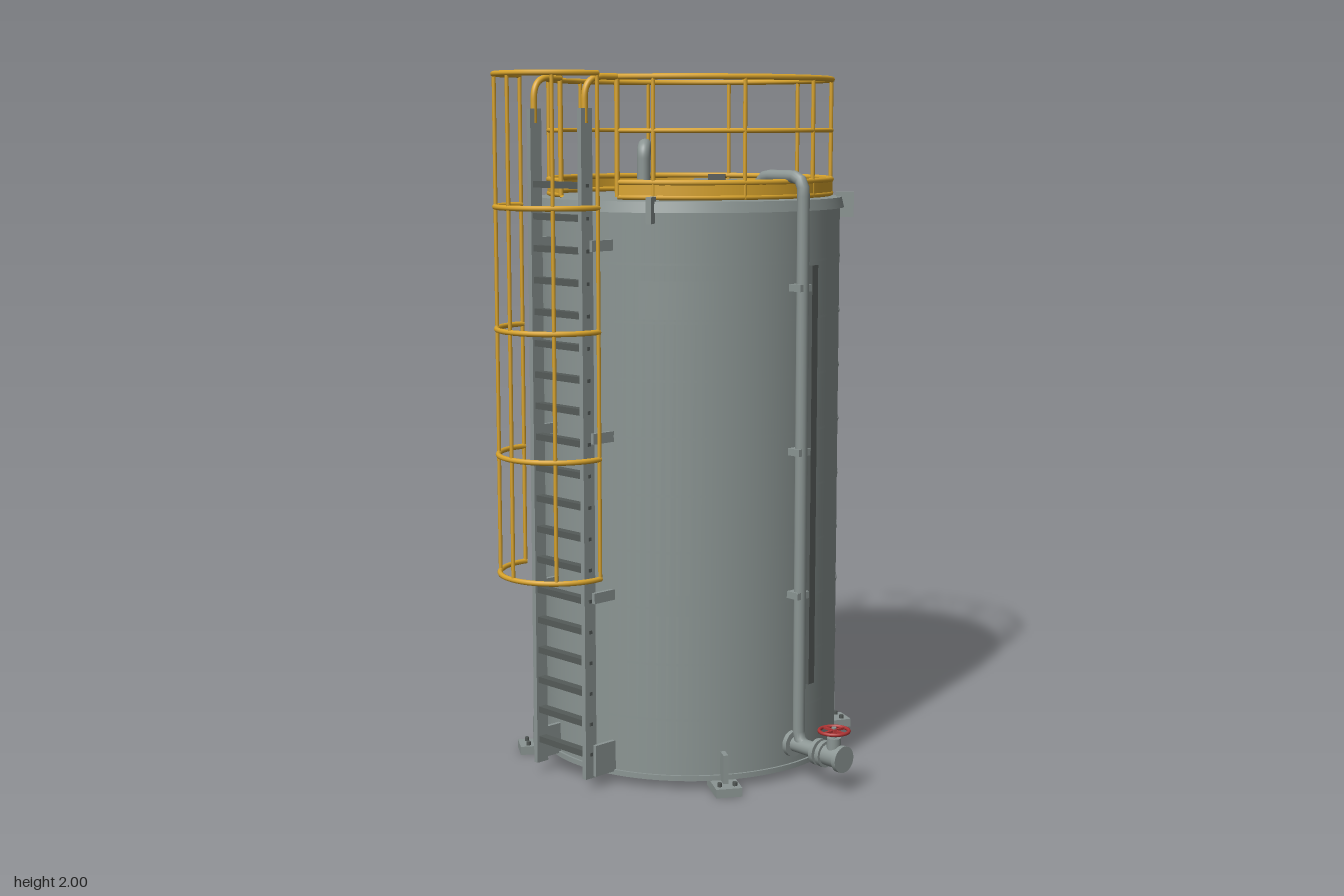
import * as THREE from 'three';

const rad = THREE.MathUtils.degToRad;
const V = (x, y, z) => new THREE.Vector3(x, y, z);

function material(name, color) {
  const m = new THREE.MeshStandardMaterial({ color, side: THREE.DoubleSide });
  m.name = name;
  return m;
}

export function createModel() {
  const steel = material('tank grey', 0x8b9593);
  const yellow = material('safety yellow', 0xd9a42c);
  const red = material('valve red', 0xb03434);
  const dark = material('dark grey', 0x555b59);

  const model = new THREE.Group();
  model.name = 'storageTank';
  const tank = new THREE.Group();
  tank.name = 'tank';
  tank.position.set(0.007, 0, -0.047);
  model.add(tank);

  function add(parent, name, geometry, mat, x = 0, y = 0, z = 0) {
    const mesh = new THREE.Mesh(geometry, mat);
    mesh.name = name;
    mesh.position.set(x, y, z);
    parent.add(mesh);
    return mesh;
  }
  const box = (p, name, mat, w, h, d, x, y, z) =>
    add(p, name, new THREE.BoxGeometry(w, h, d), mat, x, y, z);
  const rod = (p, name, mat, r, h, x, y, z, n = 16) =>
    add(p, name, new THREE.CylinderGeometry(r, r, h, n), mat, x, y, z);
  // cylinder lying along local x
  const rodX = (p, name, mat, r, len, x, y, z) => {
    const m = rod(p, name, mat, r, len, x, y, z, 24);
    m.rotation.z = Math.PI / 2;
    return m;
  };
  // group whose local x points outward at an angle measured from +x towards +z
  function station(name, deg) {
    const g = new THREE.Group();
    g.name = name;
    g.rotation.y = -rad(deg);
    tank.add(g);
    return g;
  }
  // horizontal tube arc from one angle to another
  function hoop(p, name, mat, r, tube, from, to, x, y, z) {
    const g = new THREE.TorusGeometry(r, tube, 8, 56, rad(to - from));
    g.rotateX(Math.PI / 2).rotateY(-rad(from));
    return add(p, name, g, mat, x, y, z);
  }
  // curved plate on a cylinder of radius r
  function curvedPlate(name, mat, r, y0, y1, from, to) {
    const g = new THREE.CylinderGeometry(r, r, y1 - y0, 64, 1, true, rad(90 - to), rad(to - from));
    return add(tank, name, g, mat, 0, (y0 + y1) / 2, 0);
  }
  // pipe through points with rounded corners
  function pipe(p, name, mat, r, pts, bend) {
    const path = new THREE.CurvePath();
    let last = pts[0];
    for (let i = 1; i < pts.length - 1; i++) {
      const c = pts[i];
      const a = c.clone().add(pts[i - 1].clone().sub(c).setLength(bend));
      const b = c.clone().add(pts[i + 1].clone().sub(c).setLength(bend));
      path.add(new THREE.LineCurve3(last, a));
      path.add(new THREE.QuadraticBezierCurve3(a, c, b));
      last = b;
    }
    path.add(new THREE.LineCurve3(last, pts[pts.length - 1]));
    return add(p, name, new THREE.TubeGeometry(path, 80, r, 14), mat);
  }

  // Shell, base ring, top flange and shallow roof
  add(tank, 'shell', new THREE.CylinderGeometry(0.437, 0.437, 1.6, 96), steel, 0, 0.83, 0);
  add(tank, 'baseRing', new THREE.CylinderGeometry(0.444, 0.444, 0.015, 96), steel, 0, 0.0325, 0);
  add(tank, 'topFlange', new THREE.CylinderGeometry(0.442, 0.449, 0.03, 96), steel, 0, 1.635, 0);
  add(tank, 'roof', new THREE.CylinderGeometry(0.02, 0.435, 0.02, 96), steel, 0, 1.66, 0);
  for (let i = 0; i < 9; i++)
    curvedPlate('weldSeam', steel, 0.4395, 0.197 + i * 0.16, 0.204 + i * 0.16, 0, 360);

  // Plates on the front of the shell
  curvedPlate('upperPlate', steel, 0.442, 1.33, 1.435, 74, 103.5);
  curvedPlate('lowerPlate', steel, 0.442, 0.5, 0.56, 79.5, 98);

  // Feet with gusset and bolts
  for (const a of [-116.3, -25.1, 72.7, 163.7]) {
    const foot = station('foot', a);
    box(foot, 'footPlate', steel, 0.12, 0.025, 0.075, 0.46, 0.0125, 0);
    box(foot, 'footGusset', steel, 0.045, 0.085, 0.014, 0.455, 0.065, 0);
    for (const s of [-1, 1]) rod(foot, 'footBolt', dark, 0.007, 0.012, 0.495, 0.03, s * 0.022, 6);
  }

  // Lifting lugs on the rim
  for (const a of [-99, -2, 98.5])
    box(station('liftingLug', a), 'lugPlate', steel, 0.052, 0.072, 0.015, 0.451, 1.627, 0);

  // Roof guard rail, open at the ladder
  const from = 146.7, to = 473.5;
  curvedPlate('toePlate', yellow, 0.415, 1.655, 1.695, from, to);
  for (const [y, r] of [[1.66, 0.007], [1.7, 0.008], [1.84, 0.006], [1.985, 0.008]])
    hoop(tank, 'guardRing', yellow, 0.411, r, from, to, 0, y, 0);
  for (let i = 0; i < 9; i++)
    rod(station('guardPost', 99 - i * 35.4), 'post', yellow, 0.006, 0.33, 0.411, 1.82, 0, 8);

  // Ladder
  const ladder = station('ladder', 130.2);
  for (const s of [-1, 1]) {
    box(ladder, 'ladderRail', steel, 0.04, 1.87, 0.015, 0.503, 0.965, s * 0.105);
    for (const y of [0.55, 1.0, 1.53])
      box(ladder, 'ladderBracket', steel, 0.08, 0.03, 0.012, 0.455, y, s * 0.117);
    box(ladder, 'ladderFootBracket', steel, 0.08, 0.09, 0.012, 0.455, 0.08, s * 0.117);
    pipe(ladder, 'ladderHandrail', yellow, 0.009, [
      V(0.503, 1.86, s * 0.105), V(0.503, 1.985, s * 0.105), V(0.396, 1.985, s * 0.117),
    ], 0.06);
    pipe(ladder, 'gatePost', yellow, 0.007, [V(0.396, 1.66, s * 0.117), V(0.396, 1.985, s * 0.117)], 0);
  }
  for (let i = 0; i < 19; i++) {
    const y = 0.1 + i * 0.0885;
    box(ladder, 'rung', dark, 0.026, 0.018, 0.2, 0.503, y, 0);
    for (const s of [-1, 1]) box(ladder, 'rungBolt', dark, 0.01, 0.01, 0.02, 0.503, y, s * 0.105);
  }

  // Safety cage around the ladder
  const cageR = 0.161;
  for (const y of [0.615, 0.95, 1.3, 1.635, 1.992])
    hoop(ladder, 'cageHoop', yellow, cageR, 0.0075, -97, 97, 0.524, y, 0);
  for (let i = -2; i <= 2; i++) {
    const a = rad(i * 48);
    rod(ladder, 'cageBar', yellow, 0.0055, 1.385,
      0.524 + cageR * Math.cos(a), 1.303, cageR * Math.sin(a), 8);
  }

  // Manhole with hinges and handle
  const hatch = new THREE.Group();
  hatch.name = 'manhole';
  hatch.position.set(0.081, 1.665, 0.039);
  tank.add(hatch);
  rod(hatch, 'manholeNeck', steel, 0.098, 0.03, 0, 0.005, 0, 48);
  rod(hatch, 'manholeLid', steel, 0.11, 0.012, 0, 0.025, 0, 48);
  for (const s of [-1, 1]) box(hatch, 'hinge', steel, 0.045, 0.025, 0.02, s * 0.052, 0.022, -0.105);
  box(hatch, 'lidHandle', dark, 0.05, 0.02, 0.015, 0, 0.04, 0);

  // Gooseneck vent
  pipe(tank, 'vent', steel, 0.02, [
    V(-0.149, 1.65, -0.118), V(-0.149, 1.795, -0.118),
    V(-0.149, 1.795, -0.198), V(-0.149, 1.75, -0.198),
  ], 0.038);
  rod(tank, 'ventCollar', steel, 0.028, 0.015, -0.149, 1.667, -0.118, 24);

  // Fill pipe down the side, with clamps
  const line = station('fillLine', 43);
  pipe(line, 'fillPipe', steel, 0.0175, [
    V(0.29, 1.65, 0), V(0.29, 1.715, 0), V(0.466, 1.715, 0), V(0.466, 0.1, 0), V(0.56, 0.1, 0),
  ], 0.045);
  for (const y of [0.54, 0.95, 1.41]) box(line, 'pipeClamp', steel, 0.05, 0.02, 0.046, 0.455, y, 0);

  // Outlet nozzle and gate valve
  rodX(line, 'nozzle', steel, 0.022, 0.2, 0.53, 0.1, 0);
  for (const x of [0.445, 0.548, 0.572, 0.638]) rodX(line, 'flange', steel, 0.038, 0.014, x, 0.1, 0);
  rodX(line, 'valveBody', steel, 0.03, 0.07, 0.605, 0.1, 0);
  rod(line, 'valveBonnet', steel, 0.02, 0.05, 0.605, 0.13, 0);
  rod(line, 'valveStem', steel, 0.007, 0.06, 0.605, 0.155, 0, 10);
  hoop(line, 'handwheelRim', red, 0.042, 0.005, 0, 360, 0.605, 0.175, 0);
  box(line, 'handwheelSpoke', red, 0.084, 0.006, 0.008, 0.605, 0.175, 0);
  box(line, 'handwheelSpoke', red, 0.008, 0.006, 0.084, 0.605, 0.175, 0);
  rod(line, 'handwheelHub', red, 0.01, 0.012, 0.605, 0.175, 0, 12);

  // Level gauge strip
  const gauge = station('levelGauge', 36.4);
  box(gauge, 'gaugeStrip', dark, 0.012, 1.2, 0.026, 0.459, 0.87, 0);
  for (const y of [0.3, 0.87, 1.44]) box(gauge, 'gaugeMount', steel, 0.025, 0.02, 0.016, 0.445, y, 0);

  return model;
}
